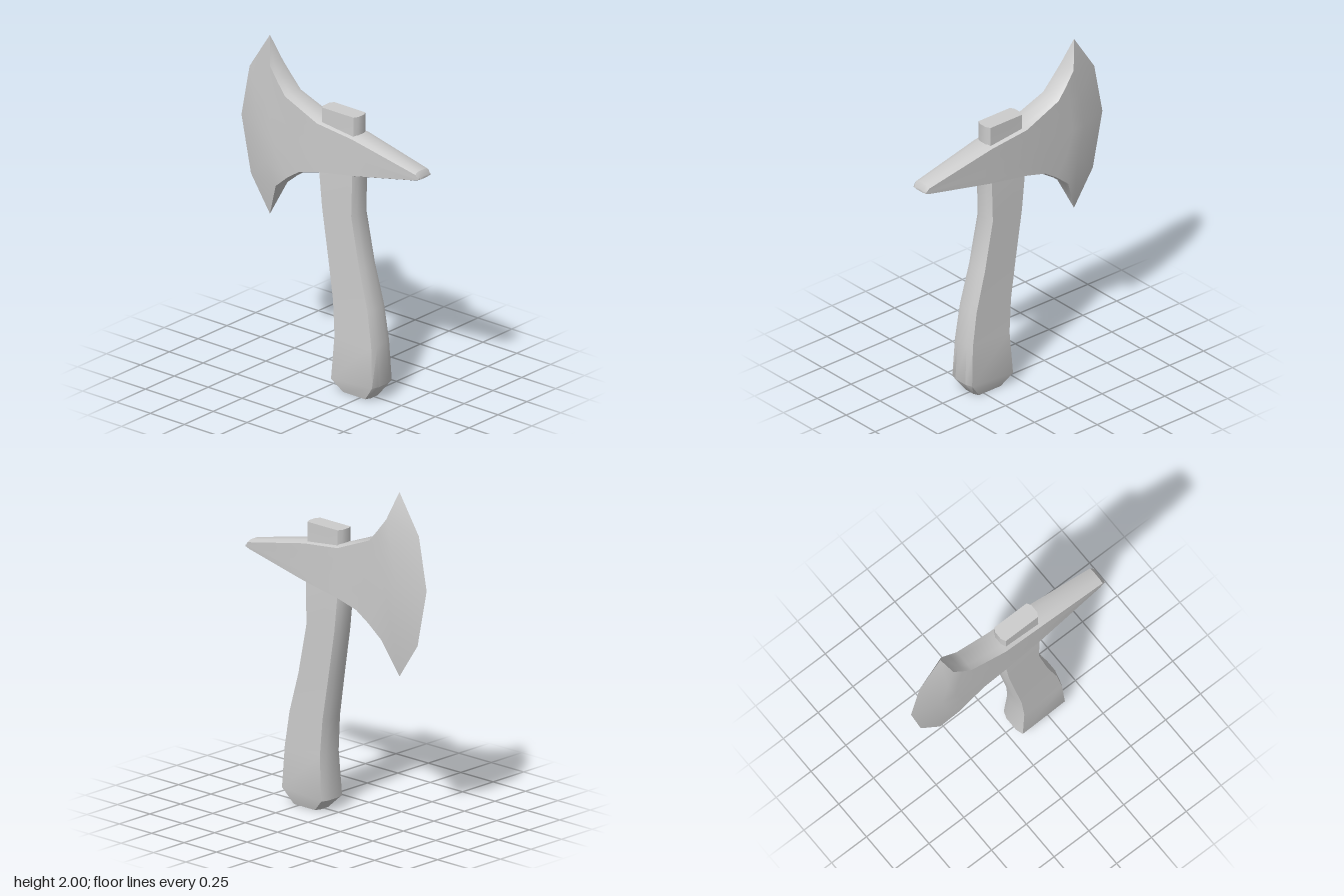
import * as THREE from 'three';
import { toCreasedNormals } from 'three/addons/utils/BufferGeometryUtils.js';

// Skin a series of rings (counter-clockwise about the direction of travel)
function loft(rings, capStart, capEnd, crease) {
  const n = rings[0].length;
  const pos = rings.flat(2);
  const index = [];
  for (let r = 0; r < rings.length - 1; r++) {
    for (let i = 0; i < n; i++) {
      const a = r * n + i, b = r * n + (i + 1) % n;
      index.push(a, b, b + n, a, b + n, a + n);
    }
  }
  const cap = (r, flip) => {
    const c = pos.length / 3;
    for (let k = 0; k < 3; k++) pos.push(rings[r].reduce((s, p) => s + p[k], 0) / n);
    for (let i = 0; i < n; i++) {
      const a = r * n + i, b = r * n + (i + 1) % n;
      if (flip) index.push(c, b, a); else index.push(c, a, b);
    }
  };
  if (capStart) cap(0, true);
  if (capEnd) cap(rings.length - 1, false);
  const g = new THREE.BufferGeometry();
  g.setAttribute('position', new THREE.Float32BufferAttribute(pos, 3));
  g.setIndex(index);
  return toCreasedNormals(g, crease);
}

// Handle section: flat front and back, softly rounded sides
function handleRing([y, yR, l, r, t]) {
  const b = 0.014, h = t * 0.5, yL = y;
  return [
    [r, yR, h], [r, yR, -h], [r - b, yR, -t], [l + b, yL, -t],
    [l, yL, -h], [l, yL, h], [l + b, yL, t], [r - b, yR, t],
  ];
}

// Head section: five points down each face, with a rounded rim above and below
function headRing({ t, pts }) {
  const inset = t * 0.2, h = t * 0.5;
  const face = pts.map(([x, y], i) => [x, y - (i === 0 ? inset : i === 4 ? -inset : 0)]);
  const [top, bottom] = [pts[0], pts[4]];
  return [
    [...top, h], ...face.map((p) => [...p, t]),
    [...bottom, h], [...bottom, -h],
    ...face.map((p) => [...p, -t]).reverse(), [...top, -h],
  ];
}

// Column of five points evenly spaced from top to bottom
function column(t, top, bottom) {
  const pts = [0, 0.25, 0.5, 0.75, 1].map((f) => [
    top[0] + (bottom[0] - top[0]) * f,
    top[1] + (bottom[1] - top[1]) * f,
  ]);
  return { t, pts };
}

export function createModel() {
  const group = new THREE.Group();
  group.name = 'axe';
  const grey = new THREE.MeshStandardMaterial({ color: 0xcccccc });
  grey.name = 'plain grey';
  const add = (name, geometry) => {
    const mesh = new THREE.Mesh(geometry, grey);
    mesh.name = name;
    group.add(mesh);
  };

  // Curved handle, passing through the head: left y, right y, left x, right x, half depth
  const handle = [
    [0.005, 0.005, 0.11, 0.3, 0.062],
    [0.075, 0.095, 0.04, 0.37, 0.086],
    [0.34, 0.34, 0.058, 0.357, 0.077],
    [0.55, 0.55, 0.043, 0.325, 0.072],
    [0.79, 0.79, 0.005, 0.26, 0.068],
    [1.09, 1.09, -0.043, 0.2, 0.066],
    [1.3, 1.3, -0.065, 0.205, 0.065],
    [1.5, 1.5, -0.055, 0.205, 0.054],
    [1.69, 1.69, -0.055, 0.205, 0.052],
  ];
  add('handle', loft(handle.map(handleRing), true, true, 0.75));

  // Head from the sharp blade edge to the blunt pick
  const head = [
    { t: 0, pts: [[-0.47, 2], [-0.62, 1.77], [-0.68, 1.46], [-0.61, 1.12], [-0.47, 0.91]] },
    { t: 0.056, pts: [[-0.42, 1.85], [-0.46, 1.67], [-0.5, 1.46], [-0.45, 1.25], [-0.38, 1.11]] },
    { t: 0.063, pts: [[-0.36, 1.775], [-0.39, 1.63], [-0.41, 1.46], [-0.36, 1.31], [-0.29, 1.185]] },
    column(0.068, [-0.3, 1.705], [-0.2, 1.245]),
    column(0.075, [-0.06, 1.61], [-0.06, 1.285]),
    column(0.073, [0.2, 1.58], [0.2, 1.33]),
    column(0.057, [0.65, 1.48], [0.635, 1.42]),
    column(0.053, [0.67, 1.45], [0.67, 1.437]),
  ];
  add('axeHead', loft(head.map(headRing), false, true, 0.75));

  return group;
}
